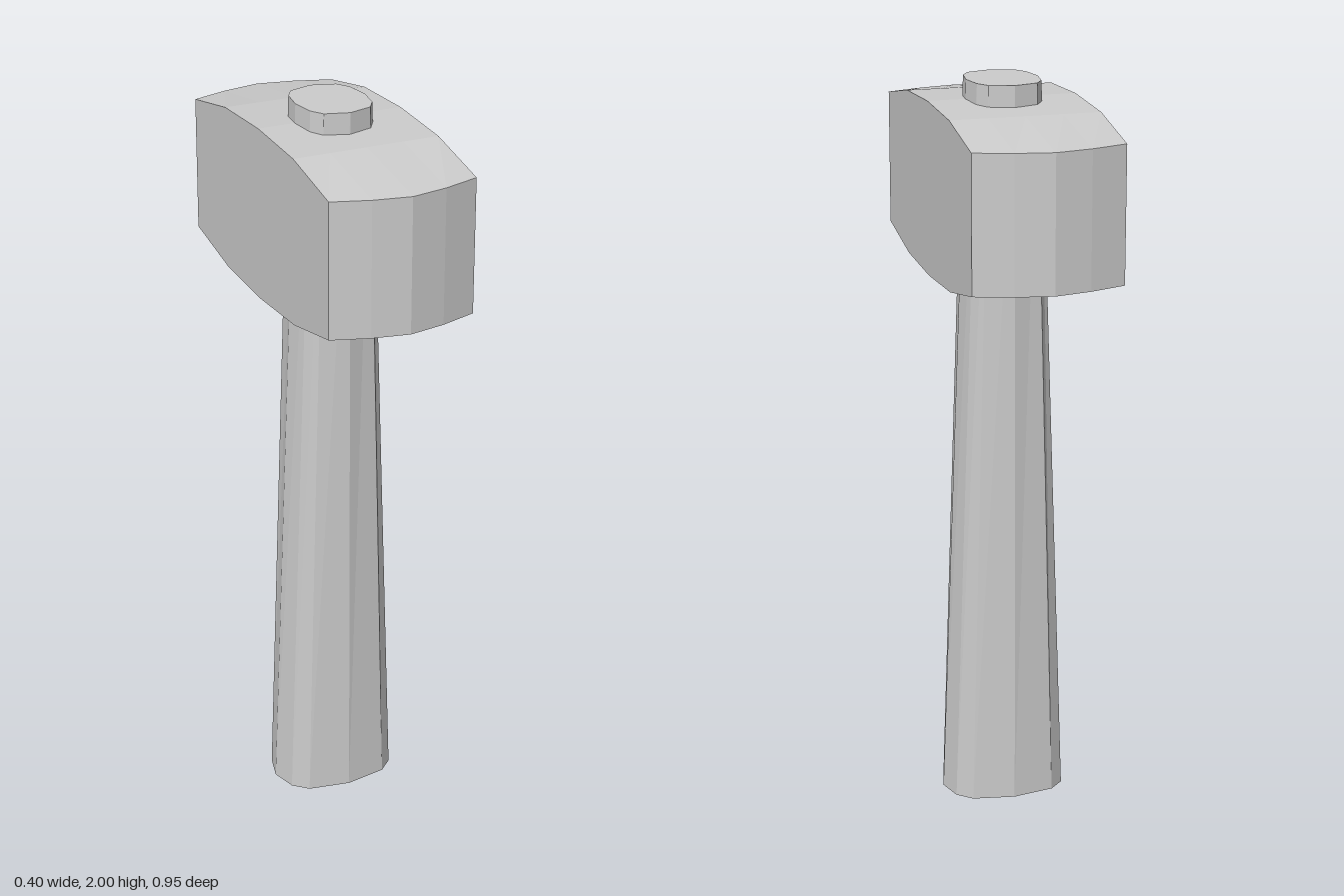
import * as THREE from 'three';

const steel = new THREE.MeshStandardMaterial({ color: 0xcccccc });
steel.name = 'light grey';

// Moves every vertex by a rule, then gives each face its own flat normal
function shaped(geometry, rule) {
  const pos = geometry.attributes.position;
  const v = new THREE.Vector3();
  for (let i = 0; i < pos.count; i++) {
    rule(v.fromBufferAttribute(pos, i));
    pos.setXYZ(i, v.x, v.y, v.z);
  }
  const flat = geometry.toNonIndexed();
  flat.computeVertexNormals();
  return flat;
}

// Head: a block with bowed striking faces and a bulging top and bottom
function makeHead() {
  const halfHeights = [0.232, 0.222, 0.181]; // middle, quarter, end
  const faceReach = [0.474, 0.455, 0.422]; // centre, quarter, edge
  const box = new THREE.BoxGeometry(4, 2, 4, 4, 1, 4);
  const geometry = shaped(box, (v) => {
    const row = Math.round(Math.abs(v.z));
    const column = Math.round(Math.abs(v.x));
    const reach = [0, 0.215, faceReach[column]][row];
    v.set(v.x * 0.1, 1.717 + Math.sign(v.y) * halfHeights[row], Math.sign(v.z) * reach);
  });
  const mesh = new THREE.Mesh(geometry, steel);
  mesh.name = 'head';
  return mesh;
}

// Handle: a twelve-sided rounded oval that narrows towards the top
function makeHandle() {
  const remap = (t, half, most) => {
    const a = Math.abs(t);
    const s = a < 0.1 ? 0 : a < 0.6 ? half : a < 0.95 ? most : 1;
    return Math.sign(t) * s;
  };
  const cylinder = new THREE.CylinderGeometry(1, 1, 2, 12, 1);
  const geometry = shaped(cylinder, (v) => {
    const top = v.y > 0;
    v.set(
      remap(v.x, 0.665, 0.89) * (top ? 0.097 : 0.172),
      top ? 2 : 0,
      remap(v.z, 0.557, 0.84) * (top ? 0.121 : 0.128)
    );
  });
  const mesh = new THREE.Mesh(geometry, steel);
  mesh.name = 'handle';
  return mesh;
}

export function createModel() {
  const group = new THREE.Group();
  group.name = 'hammer';
  group.add(makeHead(), makeHandle());
  return group;
}
